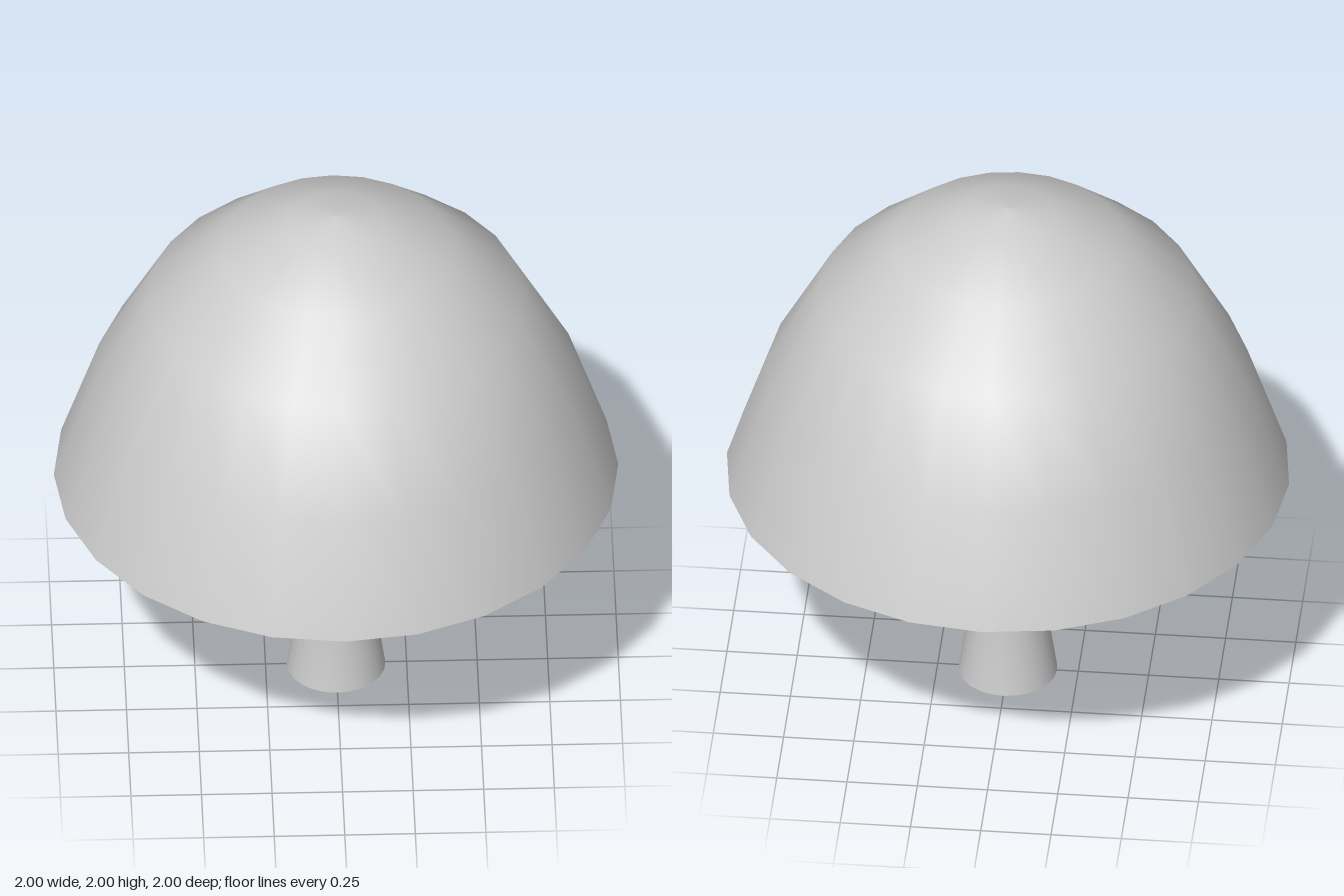
import * as THREE from 'three';

const SEGMENTS = 24;

export function createModel() {
  const group = new THREE.Group();
  group.name = 'mushroom';

  const grey = new THREE.MeshStandardMaterial({ color: 0xcccccc });
  grey.name = 'light grey';

  // Turns a profile of [radius, height] points around the y axis.
  const addLathe = (name, profile) => {
    const points = profile.map(([r, y]) => new THREE.Vector2(r, y));
    const mesh = new THREE.Mesh(new THREE.LatheGeometry(points, SEGMENTS), grey);
    mesh.name = name;
    group.add(mesh);
  };

  // Domed cap, ending in a sharp rim
  addLathe('cap', [[1, 0.865], [0.86, 1.28], [0.665, 1.64], [0.415, 1.86], [0.17, 1.977], [0, 2]]);

  // Shallow hollow underneath the cap
  addLathe('capUnderside', [[0, 1.085], [1, 0.865]]);

  // Stem, flared at the foot and slightly at the top
  addLathe('stem', [[0.175, 0], [0.143, 0.22], [0.12, 0.67], [0.127, 0.87], [0.133, 1.08]]);

  // Flat base of the stem
  addLathe('stemBase', [[0, 0], [0.175, 0]]);

  return group;
}
